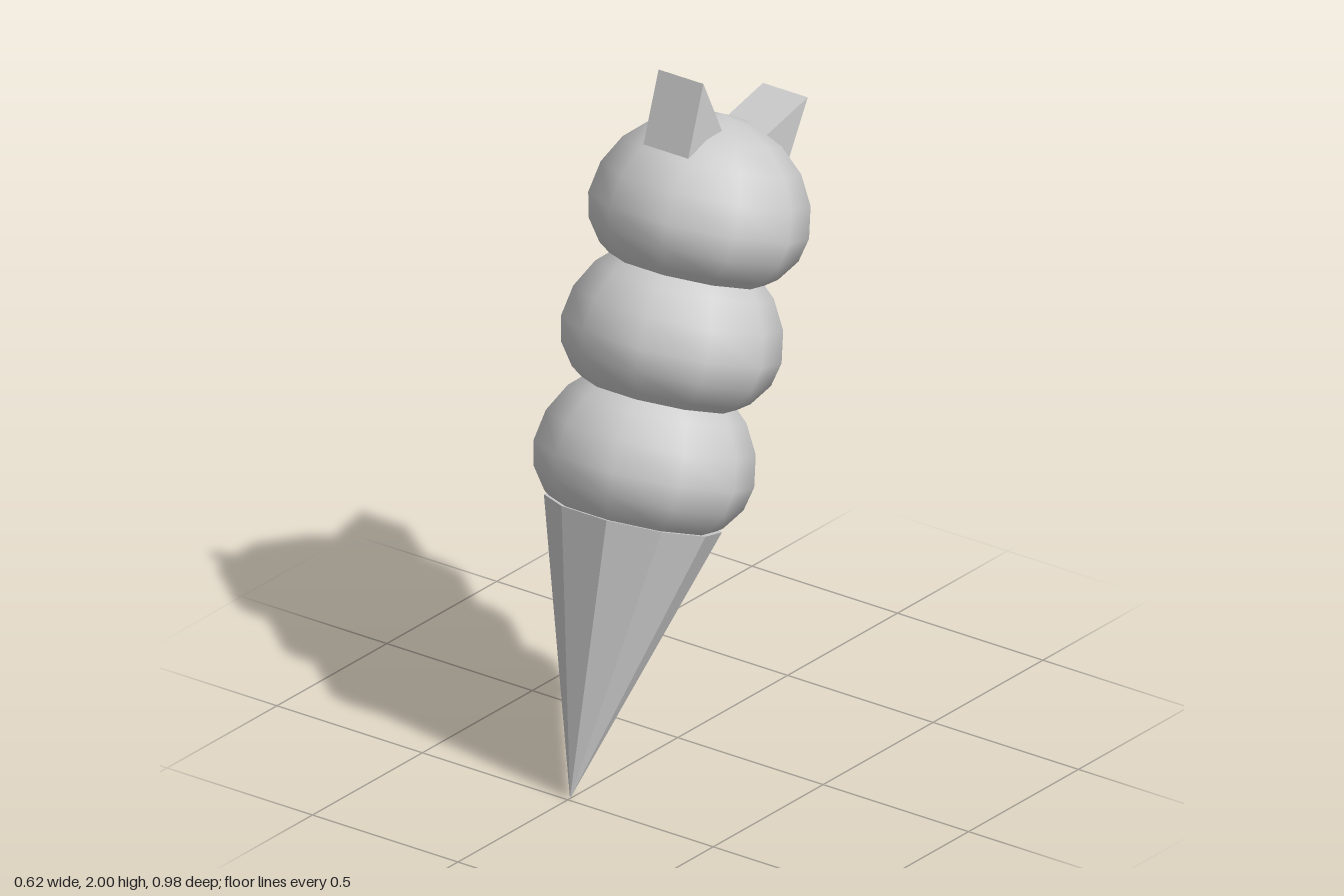
import * as THREE from 'three';

const SIDES = 10;
const smooth = new THREE.MeshStandardMaterial({ color: 0xcccccc });
const faceted = new THREE.MeshStandardMaterial({ color: 0xcccccc, flatShading: true });

function addMesh(parent, name, geometry, material) {
  const mesh = new THREE.Mesh(geometry, material);
  mesh.name = name;
  parent.add(mesh);
  return mesh;
}

// Round scoop, a little flatter below its equator
function scoopGeometry(radius, topHeight, bottomHeight) {
  const profile = [];
  for (let i = 0; i <= 10; i++) {
    const a = -Math.PI / 2 + (i / 10) * Math.PI;
    const r = i === 0 || i === 10 ? 0 : radius * Math.cos(a);
    profile.push(new THREE.Vector2(r, Math.sin(a) * (a < 0 ? bottomHeight : topHeight)));
  }
  return new THREE.LatheGeometry(profile, SIDES).rotateY(Math.PI / 2);
}

// Triangular wafer wedge: corners are [z, y], extruded across x
function wedgeGeometry(corners, width) {
  const shape = new THREE.Shape(corners.map(([z, y]) => new THREE.Vector2(z, y)));
  return new THREE.ExtrudeGeometry(shape, { depth: width, bevelEnabled: false })
    .translate(0, 0, -width / 2)
    .rotateY(-Math.PI / 2);
}

export function createModel() {
  const model = new THREE.Group();
  model.name = 'iceCreamCone';

  // Cone and scoops share one axis leaning backwards from the cone tip
  const leaning = new THREE.Group();
  leaning.name = 'leaningCone';
  leaning.position.set(0, 0, 0.49);
  leaning.rotation.x = -THREE.MathUtils.degToRad(20.7);
  model.add(leaning);

  // Wafer cone, tip down
  const coneHeight = 0.81;
  const cone = new THREE.ConeGeometry(0.25, coneHeight, SIDES)
    .rotateY(Math.PI / 2)
    .rotateX(Math.PI)
    .translate(0, coneHeight / 2, 0);
  addMesh(leaning, 'waferCone', cone, faceted);

  // Three stacked scoops
  const scoop = scoopGeometry(0.31, 0.29, 0.22);
  ['bottomScoop', 'middleScoop', 'topScoop'].forEach((name, i) => {
    addMesh(leaning, name, scoop, smooth).position.y = 0.95 + i * 0.353;
  });

  // Wafer wedges stuck into the top scoop
  addMesh(model, 'topWedge',
    wedgeGeometry([[0.057, 1.79], [-0.015, 2.0], [-0.111, 1.803]], 0.154), faceted);
  addMesh(model, 'backWedge',
    wedgeGeometry([[-0.274, 1.729], [-0.49, 1.78], [-0.385, 1.592]], 0.154), faceted);

  return model;
}
